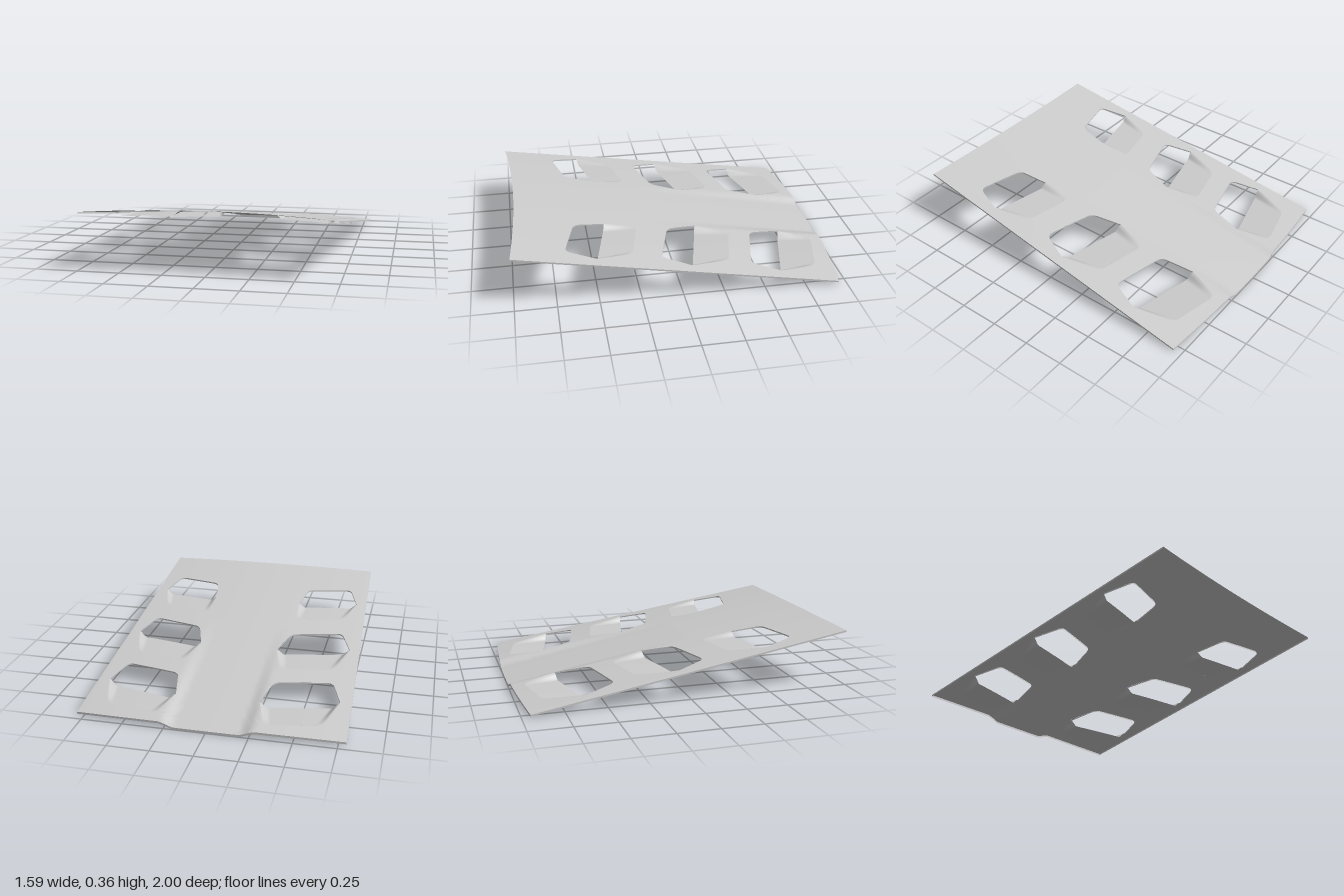
import * as THREE from 'three';

const { lerp, clamp, smoothstep } = THREE.MathUtils;
const material = new THREE.MeshStandardMaterial({ color: 0xcccccc, side: THREE.DoubleSide });

// Panel height: sloped, gently crowned, with a channel deepening toward the rear
function height(x, z) {
  const channel = clamp((0.15 - z) / 1.15, 0, 1) * (1 - smoothstep(Math.abs(x), 0.19, 0.28));
  return 0.365 + (z - 0.965) * 0.164 - 0.055 * x * x - 0.03 * channel;
}
const backZ = x => -1 + 0.05 * (x / 0.795) ** 2;
const frontZ = x => 0.96 + 0.04 * (x / 0.735) ** 2;

// Vent corners as [x, z] on the left half: rear edge, widest points, front edge
const vents = [
  { back: [[0.32, -0.925], [0.645, -0.85]], tip: [[0.255, -0.72], [0.715, -0.61]], front: [[0.3, -0.515], [0.65, -0.435]], drop: 0.042 },
  { back: [[0.31, -0.375], [0.635, -0.3]], tip: [[0.25, -0.165], [0.705, -0.06]], front: [[0.31, 0.025], [0.635, 0.115]], drop: 0.037 },
  { back: [[0.305, 0.215], [0.62, 0.285]], tip: [[0.297, 0.42], [0.685, 0.505]], front: [[0.33, 0.61], [0.625, 0.685]], drop: 0.03 },
];
const mix = (a, b, t) => [lerp(a[0], b[0], t), lerp(a[1], b[1], t)];

// Point on the rear half of a vent: u runs outward, v from rear edge to lip
function ventPoint(vent, u, v) {
  const k = Math.max(0, 1 - v / 0.2);
  const inset = 0.09 * (1 - Math.sqrt(1 - k * k));
  const a = mix(vent.back[0], vent.tip[0], v), b = mix(vent.back[1], vent.tip[1], v);
  return mix(a, b, lerp(inset, 1 - inset, u));
}

// Front half of the vent rim, with rounded corners
function frontRim(vent) {
  const pts = [vent.tip[1]];
  const [inner, outer] = vent.front;
  for (const [p, c, q] of [[vent.tip[1], outer, inner], [outer, inner, vent.tip[0]]]) {
    const a = mix(c, p, 0.04 / Math.hypot(p[0] - c[0], p[1] - c[1]));
    const b = mix(c, q, 0.04 / Math.hypot(q[0] - c[0], q[1] - c[1]));
    for (let i = 0; i <= 6; i++) pts.push(mix(mix(a, c, i / 6), mix(c, b, i / 6), i / 6));
  }
  return [...pts, vent.tip[0]];
}

// Regular grid surface from a rule
function gridGeometry(nu, nv, rule, flip) {
  const pos = [], index = [];
  for (let j = 0; j <= nv; j++) for (let i = 0; i <= nu; i++) pos.push(...rule(i / nu, j / nv));
  for (let j = 0; j < nv; j++) for (let i = 0; i < nu; i++) {
    const a = j * (nu + 1) + i, b = a + 1, c = a + nu + 1, d = c + 1;
    index.push(...(flip ? [a, b, c, b, d, c] : [a, c, b, b, c, d]));
  }
  const geo = new THREE.BufferGeometry();
  geo.setAttribute('position', new THREE.Float32BufferAttribute(pos, 3));
  geo.setIndex(index);
  geo.computeVertexNormals();
  return geo;
}

// Short skirt hanging from a line of [x, z] points on the panel
function skirtGeometry(pts, depth) {
  const n = pts.length - 1;
  return gridGeometry(n, 1, (u, v) => {
    const [x, z] = pts[Math.round(u * n)];
    return [x, height(x, z) - depth * v, z];
  });
}

// Flat outline with holes, split finely and lifted onto the height rule
function panelGeometry(outline, holes) {
  const flat = p => new THREE.Vector2(p[0], -p[1]);
  const shape = new THREE.Shape(outline.map(flat));
  shape.holes = holes.map(h => new THREE.Path(h.map(flat)));
  const base = new THREE.ShapeGeometry(shape);
  const p = base.attributes.position, ix = base.index;
  const pos = [], normals = [], n = new THREE.Vector3(), e = 0.004;
  const emit = ([x, z]) => {
    pos.push(x, height(x, z), z);
    n.set(height(x - e, z) - height(x + e, z), 2 * e, height(x, z - e) - height(x, z + e)).normalize();
    normals.push(n.x, n.y, n.z);
  };
  const dist = (a, b) => Math.hypot(a[0] - b[0], a[1] - b[1]);
  const split = (a, b, c) => {
    const ab = dist(a, b), bc = dist(b, c), ca = dist(c, a);
    const longest = Math.max(ab, bc, ca);
    if (longest < 0.045) return [a, b, c].forEach(emit);
    if (longest === bc) return split(b, c, a);
    if (longest === ca && ca > ab) return split(c, a, b);
    const m = mix(a, b, 0.5);
    split(a, m, c);
    split(m, b, c);
  };
  const at = i => [p.getX(ix.getX(i)), -p.getY(ix.getX(i))];
  for (let i = 0; i < ix.count; i += 3) split(at(i), at(i + 1), at(i + 2));
  const geo = new THREE.BufferGeometry();
  geo.setAttribute('position', new THREE.Float32BufferAttribute(pos, 3));
  geo.setAttribute('normal', new THREE.Float32BufferAttribute(normals, 3));
  return geo;
}

export function createModel() {
  const group = new THREE.Group();
  const add = (name, geo) => {
    const mesh = new THREE.Mesh(geo, material);
    mesh.name = name;
    group.add(mesh);
  };

  // Panel outline
  const N = 40, rear = [], front = [], leftSide = [], rightSide = [];
  for (let i = 0; i <= N; i++) {
    const t = i / N, s = 2 * t - 1;
    rear.push([0.795 * s, backZ(0.795 * s)]);
    front.push([-0.735 * s, frontZ(0.735 * s)]);
    leftSide.push(mix([0.795, -0.95], [0.735, 1], t));
    rightSide.push(mix([-0.735, 1], [-0.795, -0.95], t));
  }
  const outline = [...rear, ...leftSide.slice(1, -1), ...front, ...rightSide.slice(1, -1)];

  // Vents on both sides: opening, scoop floor and rim
  const holes = [], V = 20;
  for (const side of [1, -1]) {
    const label = side > 0 ? 'left' : 'right';
    vents.forEach((vent, row) => {
      const mirror = ([x, z]) => [x * side, z];
      const rim = frontRim(vent).map(mirror);
      const hole = [...rim];
      for (let i = V - 1; i >= 0; i--) hole.push(mirror(ventPoint(vent, 0, i / V)));
      for (let i = 0; i < V; i++) hole.push(mirror(ventPoint(vent, 1, i / V)));
      holes.push(hole);

      add(`${label}VentScoop${row + 1}`, gridGeometry(40, V, (u, v) => {
        const [x, z] = mirror(ventPoint(vent, u, v));
        const wall = smoothstep(Math.min(u, 1 - u), 0, 0.11);
        return [x, height(x, z) - vent.drop * wall * v, z];
      }, side < 0));
      add(`${label}VentRim${row + 1}`, skirtGeometry(rim, 0.008));
    });
  }
  add('panel', panelGeometry(outline, holes));

  // Folded edges
  add('rearFlange', skirtGeometry(rear, 0.0125));
  add('leftFlange', skirtGeometry(leftSide, 0.01));
  add('rightFlange', skirtGeometry(rightSide, 0.01));
  return group;
}
